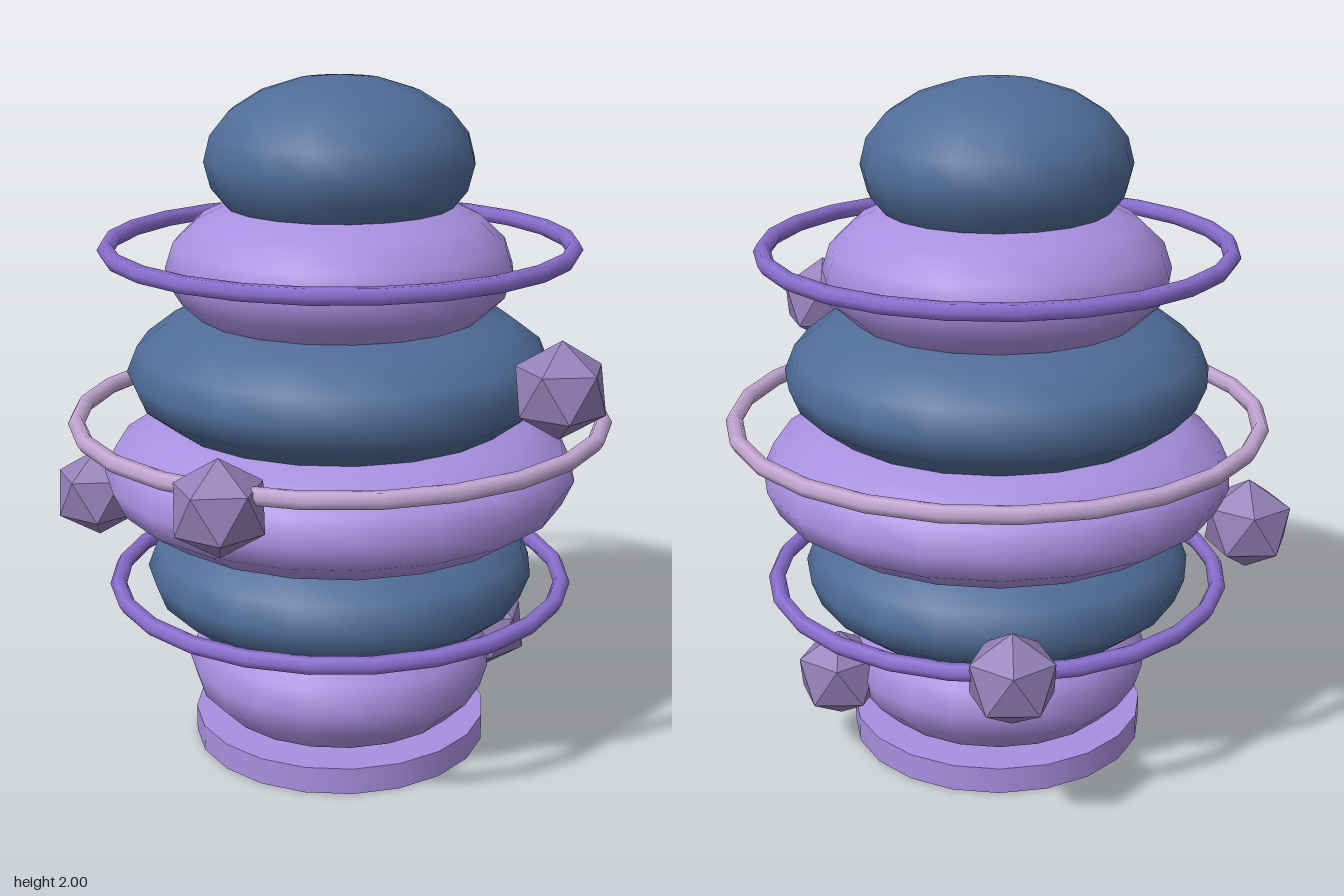
import * as THREE from 'three';

const paint = (name, color, flatShading = false) => {
  const m = new THREE.MeshStandardMaterial({ color, flatShading });
  m.name = name;
  return m;
};

export function createModel() {
  const purple = paint('purple', 0xa98fe0);
  const blue = paint('blue', 0x4f6c98);
  const violet = paint('violet', 0x8b6fd0);
  const mauve = paint('mauve', 0xc4a8d4);
  const crystalColor = paint('crystal', 0x9480b8, true);

  const group = new THREE.Group();
  const add = (name, geometry, material, x, y, z) => {
    const mesh = new THREE.Mesh(geometry, material);
    mesh.name = name;
    mesh.position.set(x, y, z);
    group.add(mesh);
    return mesh;
  };

  // Round foot
  add('base', new THREE.CylinderGeometry(0.443, 0.443, 0.08, 20), purple, 0, 0.04, 0);

  // Stack of flattened spheres in alternating colours
  [0.457, 0.577, 0.696, 0.62, 0.502, 0.386].forEach((r, i) => {
    const layer = add('layer' + (i + 1), new THREE.SphereGeometry(1, 20, 10),
      i % 2 ? blue : purple, 0, 0.25 + i * 0.302, 0);
    layer.scale.set(r, 0.24, r);
  });

  // Thin rings around the stack
  [['lowerRing', 0.667, 0.51, violet],
   ['middleRing', 0.77, 1.015, mauve],
   ['upperRing', 0.667, 1.52, violet]].forEach(([name, r, y, material]) => {
    add(name, new THREE.TorusGeometry(r, 0.025, 6, 24).rotateX(Math.PI / 2), material, 0, y, 0);
  });

  // Crystals, each standing on a corner
  const tilt = Math.atan(2 / (1 + Math.sqrt(5)));
  const gem = new THREE.IcosahedronGeometry(0.137, 0).rotateZ(-tilt);
  [[0.5, 0.247, 0], [0.355, 1.22, 0.665], [-0.56, 0.97, 0.525],
   [-0.64, 0.73, -0.385], [0.175, 0.488, -0.632]].forEach(([x, y, z], i) => {
    add('crystal' + (i + 1), gem, crystalColor, x, y, z);
  });

  return group;
}
